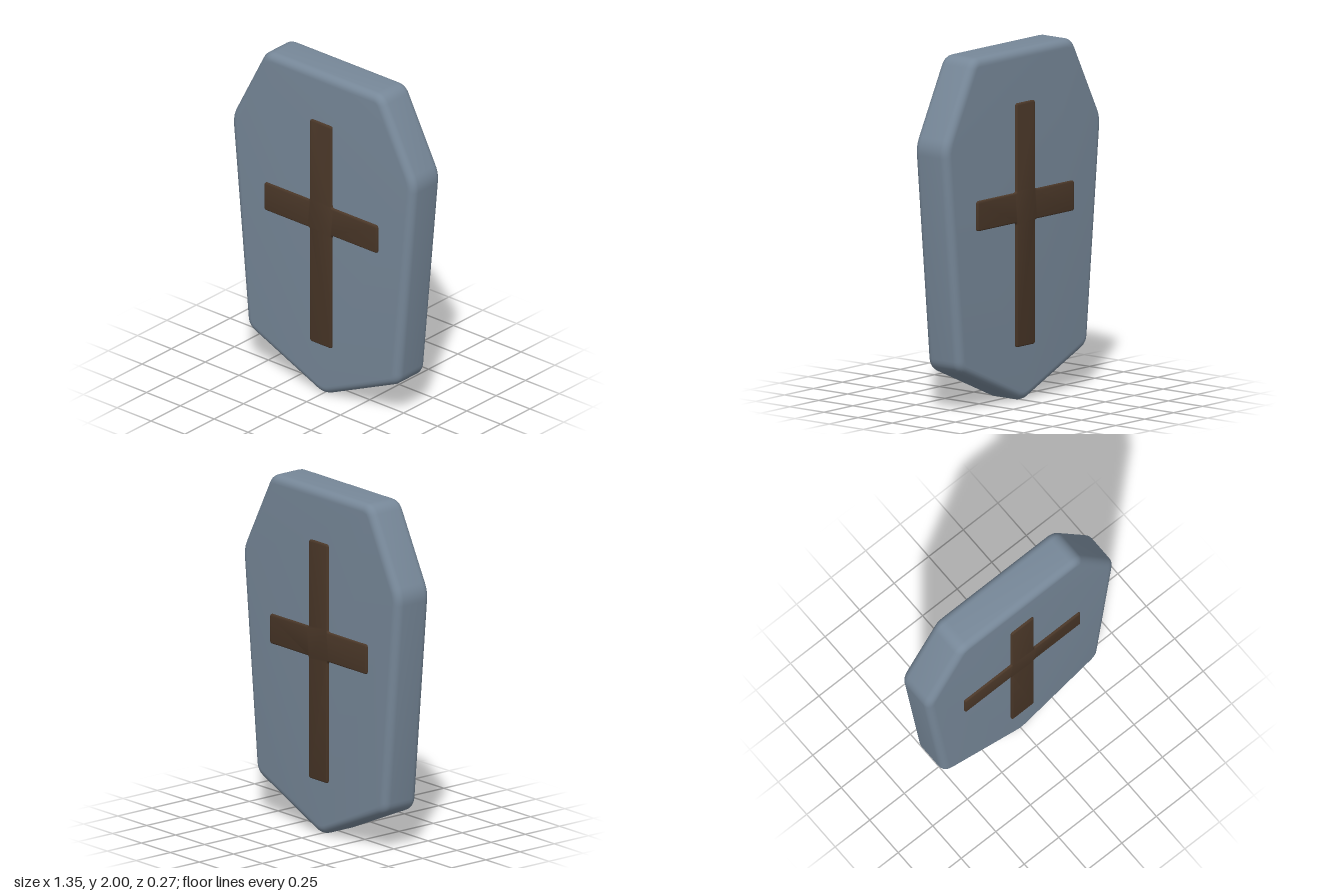
import * as THREE from 'three';
import { toCreasedNormals } from 'three/addons/utils/BufferGeometryUtils.js';

// Closed outline through the corners, each softened over distance t.
function roundedOutline(corners, t) {
  const pts = corners.map(([x, y]) => new THREE.Vector2(x, y));
  const shape = new THREE.Shape();
  pts.forEach((p, i) => {
    const prev = pts[(i + pts.length - 1) % pts.length];
    const next = pts[(i + 1) % pts.length];
    const a = prev.clone().sub(p).setLength(t).add(p);
    const b = next.clone().sub(p).setLength(t).add(p);
    if (i === 0) shape.moveTo(a.x, a.y);
    else shape.lineTo(a.x, a.y);
    shape.quadraticCurveTo(p.x, p.y, b.x, b.y);
  });
  shape.closePath();
  return shape;
}

// Slab of the given thickness, centred on z = 0, with rounded rims inside the outline.
function slab(name, shape, thickness, bevel, segments, color) {
  const geometry = new THREE.ExtrudeGeometry(shape, {
    depth: thickness - 2 * bevel,
    bevelEnabled: true,
    bevelThickness: bevel,
    bevelSize: bevel,
    bevelOffset: -bevel,
    bevelSegments: segments,
    curveSegments: 6,
  });
  geometry.translate(0, 0, bevel - thickness / 2);
  const material = new THREE.MeshStandardMaterial({ color });
  const mesh = new THREE.Mesh(toCreasedNormals(geometry, 0.6), material);
  mesh.name = name;
  return mesh;
}

// Mirrors the right-hand corners (x > 0) to close the outline.
const mirrored = (half) => [...half, ...half.map(([x, y]) => [-x, y]).reverse()];

export function createModel() {
  const group = new THREE.Group();
  group.name = 'shield';

  // Shield body: flat top, wide shoulders, taper to a blunt point
  const body = [[0, -0.008], ...mirrored([[0.56, 0.24], [0.679, 1.52], [0.43, 2.0]])];
  group.add(slab('shieldBody', roundedOutline(body, 0.055), 0.24, 0.045, 6, 0x778899));

  // Cross running through the body, standing slightly proud on both faces
  const cross = mirrored([
    [0.08, 0.314], [0.08, 1.022], [0.417, 1.022],
    [0.417, 1.193], [0.08, 1.193], [0.08, 1.7],
  ]);
  group.add(slab('crossInlay', roundedOutline(cross, 0.015), 0.268, 0.009, 3, 0x4a3728));

  return group;
}
